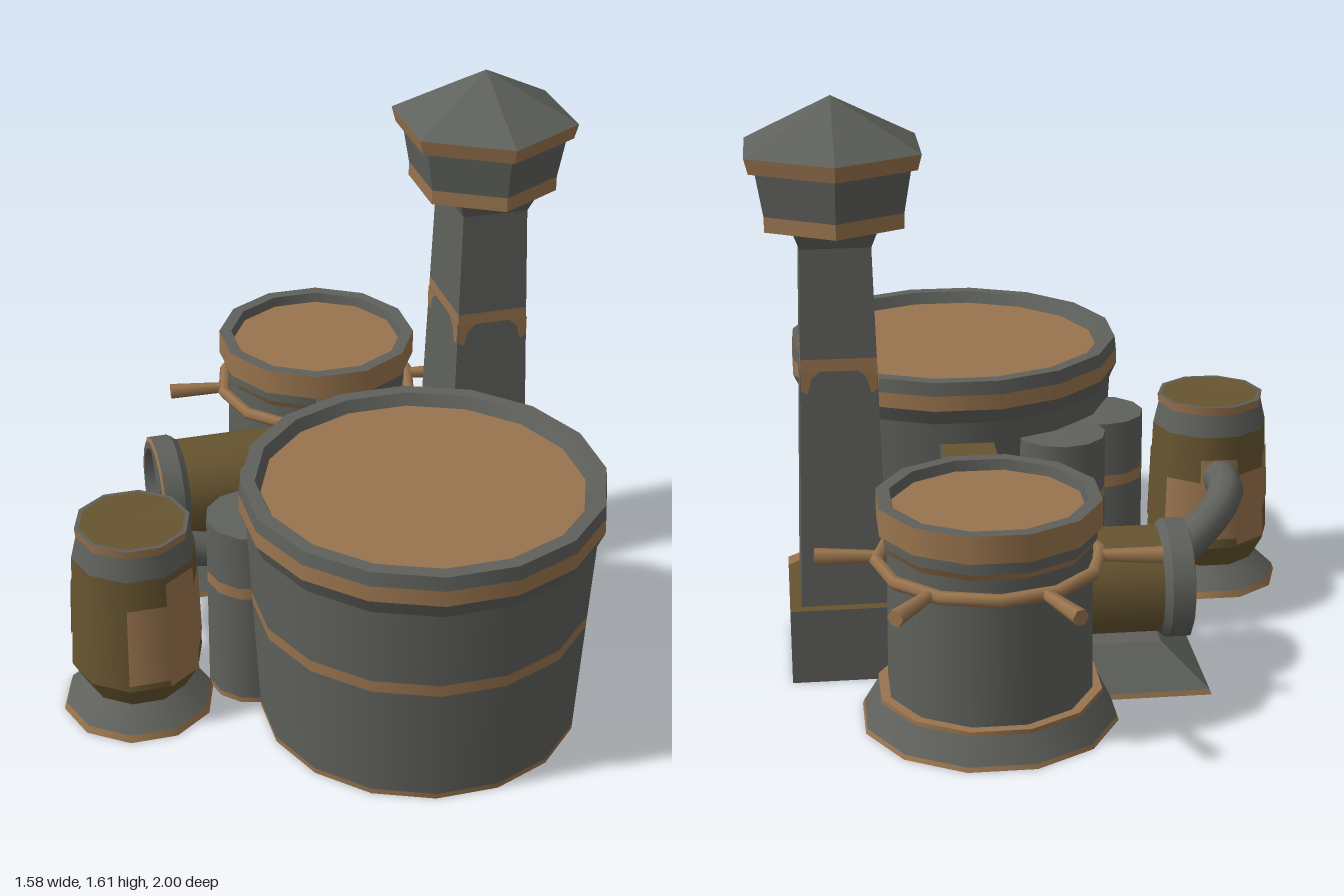
import * as THREE from 'three';
import { mergeGeometries } from 'three/addons/utils/BufferGeometryUtils.js';

const material = (name, color) => {
  const m = new THREE.MeshStandardMaterial({ color, side: THREE.DoubleSide });
  m.name = name;
  return m;
};

export function createModel() {
  const model = new THREE.Group();
  model.name = 'brewhouse';
  const grey = material('darkMetal', 0x5f615c);
  const tan = material('copper', 0x99744e);
  const olive = material('agedBrass', 0x675530);

  const add = (name, geo, mat, parent = model) => {
    const mesh = new THREE.Mesh(geo, mat);
    mesh.name = name;
    parent.add(mesh);
    return mesh;
  };

  // Turned part: each row [radius, y, material] colours the band up to the next row.
  const turned = (name, x, z, sides, phase, rows, flat = false) => {
    const group = new THREE.Group();
    group.name = name;
    group.position.set(x, 0, z);
    const byColour = new Map();
    for (let i = 0; i < rows.length - 1; i++) {
      const [r, y, mat] = rows[i];
      const [r2, y2] = rows[i + 1];
      let g = new THREE.LatheGeometry(
        [new THREE.Vector2(r, y), new THREE.Vector2(r2, y2)], sides, phase);
      if (flat) {
        g = g.toNonIndexed();
        g.computeVertexNormals();
      }
      if (!byColour.has(mat)) byColour.set(mat, []);
      byColour.get(mat).push(g);
    }
    for (const [mat, list] of byColour) add(name + '_' + mat.name, mergeGeometries(list), mat, group);
    model.add(group);
    return group;
  };

  // Large open vat with copper bands
  turned('largeVat', 0.18, 0.505, 16, Math.PI / 16, [
    [0.445, 0, tan], [0.446, 0.016, grey], [0.465, 0.35, tan], [0.467, 0.385, grey],
    [0.48, 0.61, grey], [0.5, 0.655, tan], [0.499, 0.7, grey], [0.495, 0.74, grey],
    [0.455, 0.74, grey], [0.44, 0.705, tan], [0, 0.705]]);

  // Smaller vat on a flared foot
  turned('smallVat', 0.18, -0.58, 12, Math.PI / 12, [
    [0.35, 0, tan], [0.345, 0.012, grey], [0.305, 0.08, tan], [0.305, 0.092, tan],
    [0.278, 0.092, grey], [0.276, 0.5, tan], [0.288, 0.52, grey], [0.288, 0.55, tan],
    [0.302, 0.555, tan], [0.302, 0.63, grey], [0.265, 0.63, grey], [0.26, 0.6, tan], [0, 0.6]]);

  // Ring with six pegs around the small vat
  const wheel = new THREE.Group();
  wheel.name = 'pegRing';
  wheel.position.set(0.18, 0.455, -0.58);
  model.add(wheel);
  add('ring', new THREE.TorusGeometry(0.298, 0.018, 6, 12).rotateX(Math.PI / 2), tan, wheel);
  for (let i = 0; i < 6; i++) {
    const peg = new THREE.CylinderGeometry(0.023, 0.016, 0.17, 6).rotateZ(-Math.PI / 2).translate(0.375, 0, 0);
    add('peg', peg.rotateY(THREE.MathUtils.degToRad(54 + 60 * i)), tan, wheel);
  }

  // Side barrel
  const barrelPhase = Math.PI / 10;
  turned('barrel', -0.58, 0.29, 10, barrelPhase, [
    [0.215, 0, tan], [0.208, 0.02, grey], [0.145, 0.08, olive], [0.185, 0.15, olive],
    [0.172, 0.5, grey], [0.157, 0.565, tan], [0.16, 0.59, grey], [0.148, 0.59, olive], [0, 0.588]]);

  // Worn copper patches, one per barrel facet: [facet, bottom, top]
  const barrelRadius = (y) => 0.188 - (y - 0.15) * 0.037;
  [[0, 0.17, 0.41], [1, 0.15, 0.48], [2, 0.2, 0.42], [4, 0.22, 0.36], [5, 0.18, 0.43], [6, 0.16, 0.38], [7, 0.25, 0.42]]
    .forEach(([f, y0, y1]) => {
      const pts = [y0, y1].map((y) => new THREE.Vector2(barrelRadius(y), y));
      add('barrelPatch', new THREE.LatheGeometry(pts, 1, (2 * f - 1) * barrelPhase, 2 * barrelPhase), tan)
        .position.set(-0.58, 0, 0.29);
    });

  // Twin upright cylinders behind the large vat
  for (const [x, z] of [[-0.1, 0.1], [-0.24, 0.28]]) {
    turned('uprightCylinder', x, z, 12, 0, [
      [0.132, 0, tan], [0.132, 0.016, grey], [0.132, 0.35, tan], [0.132, 0.385, grey],
      [0.132, 0.548, grey], [0, 0.55]]);
  }

  // Bent pipe from the barrel
  const path = new THREE.CatmullRomCurve3([
    [-0.58, 0.38, 0.18], [-0.58, 0.37, 0.02], [-0.52, 0.32, -0.06], [-0.38, 0.22, -0.11],
    [-0.15, 0.17, -0.12], [0.2, 0.17, -0.12]].map((p) => new THREE.Vector3(...p)));
  add('pipe', new THREE.TubeGeometry(path, 20, 0.053, 10), grey);

  // Horizontal drum with a rimmed end and crossed bars
  const drum = turned('drum', 0, -0.355, 14, 0, [
    [0.15, -0.1, olive], [0.15, 0.31, grey], [0.168, 0.33, grey], [0.168, 0.39, tan],
    [0.155, 0.395, grey], [0.135, 0.395, grey], [0.13, 0.365, grey], [0, 0.365]]);
  drum.position.y = 0.27;
  drum.rotation.z = Math.PI / 2;
  for (const a of [Math.PI / 4, -Math.PI / 4]) {
    add('drumBar', new THREE.BoxGeometry(0.26, 0.009, 0.025).rotateY(a).translate(0, 0.375, 0), grey, drum);
  }

  // Sloped plinth under the drum
  const q = Math.SQRT2;
  const plinth = turned('drumPlinth', -0.19, -0.35, 4, Math.PI / 4, [
    [0.245 * q, 0, tan], [0.24 * q, 0.014, grey], [0.12 * q, 0.12, grey], [0, 0.12]], true);
  plinth.scale.z = 0.82;

  // Duct joining the two vats
  add('duct', new THREE.BoxGeometry(0.155, 0.15, 0.4), [grey, grey, olive, grey, grey, grey])
    .position.set(0.18, 0.472, -0.13);

  // Chimney base block
  const plan = new THREE.Shape([[0.2, 0.345], [0.2, -0.235], [0.49, -0.235], [0.705, -0.04], [0.705, 0.345]]
    .map((p) => new THREE.Vector2(...p)));
  add('chimneyBase', new THREE.ExtrudeGeometry(plan, { depth: 0.215, bevelEnabled: false })
    .rotateX(-Math.PI / 2), [olive, grey]);
  const edge = new THREE.Shape([[0.45, -0.235], [0.49, -0.235], [0.705, -0.04], [0.705, 0.02]]
    .map((p) => new THREE.Vector2(...p)));
  add('baseEdge', new THREE.ShapeGeometry(edge).rotateX(-Math.PI / 2), tan).position.y = 0.218;

  // Tapered rectangular chimney shaft with a copper band
  const cx = 0.553, cz = -0.157;
  const half = (y) => 0.121 - (y - 0.21) * 0.0256;
  const shaft = turned('chimneyShaft', cx, cz, 4, Math.PI / 4, [
    [half(0.2) * q, 0.2, grey], [half(0.888) * q, 0.888, tan], [half(0.922) * q, 0.922, grey],
    [half(1.225) * q, 1.225, grey], [0.112 * q, 1.275]], true);
  shaft.scale.z = 1.3;

  // Drips below the band at the corners of each side
  for (let side = 0; side < 4; side++) {
    for (const s of [-1, 1]) {
      const drip = new THREE.Shape([[0.103, 0.89], [0.103, 0.835], [0.086, 0.825], [0.073, 0.87], [0.05, 0.89]]
        .map(([x, y]) => new THREE.Vector2(x * s, y)));
      add('bandDrip', new THREE.ShapeGeometry(drip).translate(0, 0, 0.1065).rotateY(side * Math.PI / 2), tan, shaft);
    }
  }

  // Hexagonal chimney cap
  turned('chimneyCap', cx, cz, 6, 0, [
    [0.11, 1.272, grey], [0.214, 1.27, tan], [0.214, 1.312, grey], [0.236, 1.43, tan],
    [0.256, 1.432, tan], [0.268, 1.475, grey], [0, 1.612]], true);

  return model;
}
